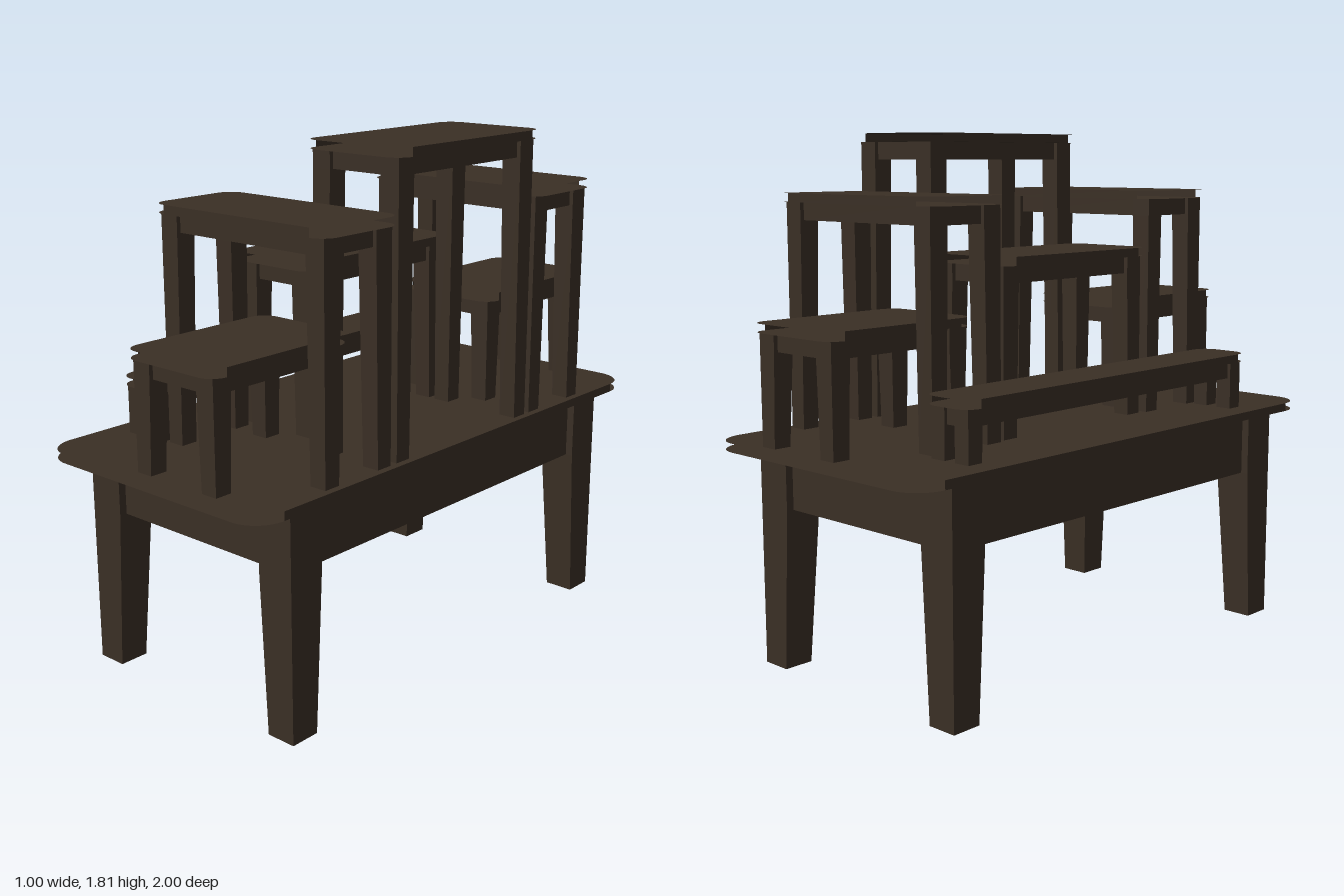
import * as THREE from 'three';
import { mergeGeometries } from 'three/addons/utils/BufferGeometryUtils.js';

const darkWood = new THREE.MeshStandardMaterial({ color: 0x3a2f25 });
darkWood.name = 'darkWood';
const darkWoodSheet = new THREE.MeshStandardMaterial({ color: 0x3a2f25, side: THREE.DoubleSide });
darkWoodSheet.name = 'darkWoodSheet';

function roundedRect(w, l, r) {
  const x = w / 2, y = l / 2, s = new THREE.Shape();
  s.absarc(x - r, y - r, r, 0, Math.PI / 2);
  s.absarc(-x + r, y - r, r, Math.PI / 2, Math.PI);
  s.absarc(-x + r, -y + r, r, Math.PI, Math.PI * 1.5);
  s.absarc(x - r, -y + r, r, Math.PI * 1.5, Math.PI * 2);
  s.closePath();
  return s;
}

// Thin top: upper and lower sheets, with edge strips on the two long sides only
function topGeometry(w, l, r, y, t) {
  const shape = roundedRect(w, l, r);
  const parts = [
    new THREE.ShapeGeometry(shape, 10).rotateX(-Math.PI / 2).translate(0, y + t, 0),
    new THREE.ShapeGeometry(shape, 10).rotateX(Math.PI / 2).translate(0, y, 0),
  ];
  for (const s of [-1, 1]) {
    parts.push(new THREE.PlaneGeometry(l - 2 * r, t).rotateY(s * Math.PI / 2).translate(s * w / 2, y + t / 2, 0));
  }
  return mergeGeometries(parts);
}

// Leg with straight outer faces; the inner faces taper below the apron
function legGeometry(size, foot, y0, y1, apron, sx, sz) {
  const h = y1 - y0;
  const g = new THREE.BoxGeometry(size, h, size, 1, 2, 1).toNonIndexed();
  const p = g.attributes.position;
  for (let i = 0; i < p.count; i++) {
    const y = p.getY(i);
    if (Math.abs(y) < 1e-6) p.setY(i, h / 2 - apron);
    if (y < -0.001) {
      if (p.getX(i) * sx < 0) p.setX(i, sx * (size / 2 - foot));
      if (p.getZ(i) * sz < 0) p.setZ(i, sz * (size / 2 - foot));
    }
  }
  g.computeVertexNormals();
  return g.translate(0, (y0 + y1) / 2, 0);
}

// Long axis runs along z; turned tables run along x
function makeTable(o) {
  const { name, w, l, r, y0, y1, leg, foot, apron, insetX, insetZ, x = 0, z = 0, turned = false } = o;
  const table = new THREE.Group();
  table.name = name;
  const add = (part, geometry, material = darkWood) => {
    const m = new THREE.Mesh(geometry, material);
    m.name = part;
    table.add(m);
    return m;
  };
  add('tableTop', topGeometry(w, l, r, y1, 0.03), darkWoodSheet);
  const hx = w / 2 - insetX, hz = l / 2 - insetZ;
  const recess = leg * 0.2, thick = leg * 0.4;
  for (const s of [-1, 1]) {
    for (const t of [-1, 1]) {
      add('leg', legGeometry(leg, foot, y0, y1, apron, s, t))
        .position.set(s * (hx - leg / 2), 0, t * (hz - leg / 2));
    }
    add('sideApron', new THREE.BoxGeometry(thick, apron, 2 * (hz - leg)))
      .position.set(s * (hx - recess - thick / 2), y1 - apron / 2, 0);
    add('endApron', new THREE.BoxGeometry(2 * (hx - leg), apron, thick))
      .position.set(0, y1 - apron / 2, s * (hz - recess - thick / 2));
  }
  table.position.set(x, 0, z);
  if (turned) table.rotation.y = Math.PI / 2;
  return table;
}

export function createModel() {
  const model = new THREE.Group();
  model.name = 'stackedTables';

  // Large base table
  model.add(makeTable({
    name: 'baseTable', w: 1, l: 2, r: 0.11, y0: 0, y1: 0.777,
    leg: 0.137, foot: 0.108, apron: 0.217, insetX: 0.033, insetZ: 0.168,
  }));

  // Small tables standing on it
  const small = { r: 0.06, y0: 0.807, leg: 0.073, foot: 0.062, apron: 0.06, insetX: 0.022, insetZ: 0.022 };
  model.add(makeTable({ ...small, name: 'tallTable', w: 0.4, l: 0.75, y1: 1.78, x: 0.297, z: -0.003 }));
  model.add(makeTable({ ...small, name: 'middleTable', w: 0.355, l: 0.75, y1: 1.38, x: -0.063, z: -0.003 }));
  for (const [side, z, endZ] of [['front', 0.533, 0.667], ['back', -0.535, -0.678]]) {
    model.add(makeTable({ ...small, name: side + 'HighTable', w: 0.35, l: 0.75, y1: 1.58, x: 0.122, z, turned: true }));
    model.add(makeTable({ ...small, name: side + 'LowTable', w: 0.4, l: 0.61, y1: 1.18, x: 0.097, z: endZ }));
  }

  // Narrow bench, its legs passing through the base table top
  model.add(makeTable({
    ...small, name: 'bench', w: 0.2, l: 1.46, y0: 0.61, y1: 0.98, leg: 0.06, foot: 0.056,
    insetX: 0.018, x: -0.332, z: -0.003,
  }));
  return model;
}
